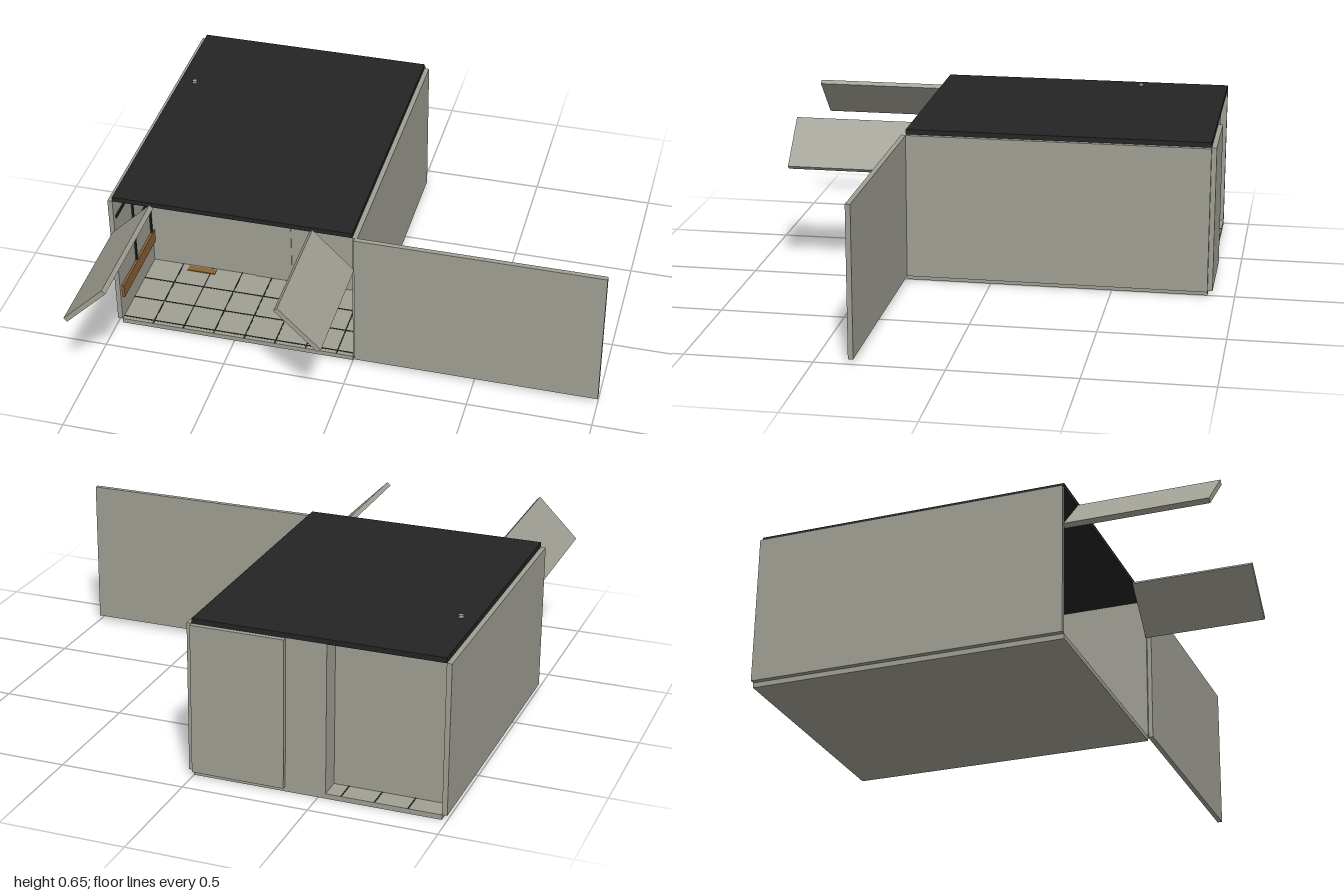
import * as THREE from 'three';

export function createModel() {
  const root = new THREE.Group();
  const mat = (name, color) => {
    const m = new THREE.MeshStandardMaterial({ color });
    m.name = name;
    return m;
  };
  const grey = mat('panelGrey', 0xa09f94);
  const black = mat('black', 0x242424);
  const wood = mat('wood', 0x8a6236);

  // Box given by its limits on each axis
  const box = (name, m, [x0, x1], [y0, y1], [z0, z1], parent = root) => {
    const mesh = new THREE.Mesh(new THREE.BoxGeometry(x1 - x0, y1 - y0, z1 - z0), m);
    mesh.position.set((x0 + x1) / 2, (y0 + y1) / 2, (z0 + z1) / 2);
    mesh.name = name;
    parent.add(mesh);
    return mesh;
  };
  // Cylinder centred at a point, along the chosen axis
  const rod = (name, m, r, len, pos, axis) => {
    const g = new THREE.CylinderGeometry(r, r, len, 20);
    if (axis === 'z') g.rotateX(Math.PI / 2);
    const mesh = new THREE.Mesh(g, m);
    mesh.position.set(...pos);
    mesh.name = name;
    root.add(mesh);
  };

  const XL = -0.98, XR = 0, Y0 = 0.02, Y1 = 0.62, ZB = -0.89, ZF = 0.35;
  const ROOM = -0.06, NICHE = -0.80;

  // Shell
  box('floor', grey, [XL, XR], [0, Y0], [ZB, ZF]);
  box('roof', black, [XL, XR], [Y1, 0.64], [ZB, ZF]);
  box('rightWall', grey, [-1, XL], [Y0, Y1], [ZB, ZF]);
  box('leftWall', grey, [XR, 0.02], [Y0, Y1], [ZB, ZF]);

  // Inner walls: front room back wall, rear niche wall and the rear column
  box('roomWall', grey, [XL, XR], [Y0, Y1], [ROOM - 0.02, ROOM]);
  box('nicheWall', grey, [XL, XR], [Y0, Y1], [NICHE, NICHE + 0.02]);
  box('rearColumn', grey, [-0.53, -0.37], [Y0, Y1], [ZB, NICHE]);
  box('roomWallPanel', grey, [-0.53, -0.37], [Y0, Y1], [ROOM, ROOM + 0.004]);

  // Doors: swung-open front door and closed rear door
  box('frontDoor', grey, [0.01, 1], [Y0, Y1], [ZF - 0.003, ZF + 0.017]);
  box('rearDoor', grey, [-0.37, 0], [Y0, Y1], [ZB - 0.02, ZB]);

  // Sloping flaps standing out from the front
  const flap = (name, cx, angle, length) => {
    const mesh = new THREE.Mesh(new THREE.BoxGeometry(0.235, 0.02, length), grey);
    mesh.position.set(cx, 0.54, ZF + length / 2);
    mesh.rotation.z = angle;
    mesh.name = name;
    root.add(mesh);
  };
  flap('rightFlap', -0.9, Math.PI / 4, 0.555);
  flap('leftFlap', -0.083, -Math.PI / 4, 0.495);

  // Floor tile joints in the front room and the open niche
  const joints = new THREE.Group();
  joints.name = 'floorJoints';
  root.add(joints);
  const T = 0.0015, W = 0.0025;
  for (let i = 1; i < 8; i++) {
    const x = XL + i * 0.13;
    if (x > XR) break;
    box('frontJoint', black, [x - W, x + W], [Y0, Y0 + T], [ROOM, ZF], joints);
    if (x < -0.53) box('rearJoint', black, [x - W, x + W], [Y0, Y0 + T], [ZB, NICHE], joints);
  }
  for (let z = ROOM + 0.13; z < ZF; z += 0.13)
    box('crossJoint', black, [XL, XR], [Y0, Y0 + T], [z - W, z + W], joints);

  // Rack of black bars and a wooden board on the right wall
  const xw = [XL, XL + 0.006];
  for (const y of [0.35, 0.53]) box('rackBar', black, xw, [y - 0.006, y + 0.006], [ROOM, 0.33]);
  for (const z of [-0.04, 0.15]) box('rackPost', black, xw, [0.18, 0.54], [z - 0.006, z + 0.006]);
  box('wallBoard', wood, [XL, XL + 0.01], [0.12, 0.18], [ROOM, 0.33]);
  box('floorBoard', wood, [-0.82, -0.7], [Y0, Y0 + 0.004], [-0.05, -0.02]);

  // Round ports in both inner walls
  for (const x of [-0.74, -0.68, -0.36, -0.30]) {
    rod('roomPort', black, 0.013, 0.012, [x, 0.6, ROOM], 'z');
    if (x < -0.53) rod('nichePort', black, 0.013, 0.012, [x, 0.6, NICHE], 'z');
  }
  // Small knobs on the room wall and a vent on the roof
  for (const y of [0.42, 0.53]) rod('wallKnob', grey, 0.01, 0.02, [-0.022, y, ROOM + 0.01], 'z');
  rod('roofVent', grey, 0.01, 0.01, [-0.915, 0.645, -0.515], 'y');

  return root;
}
